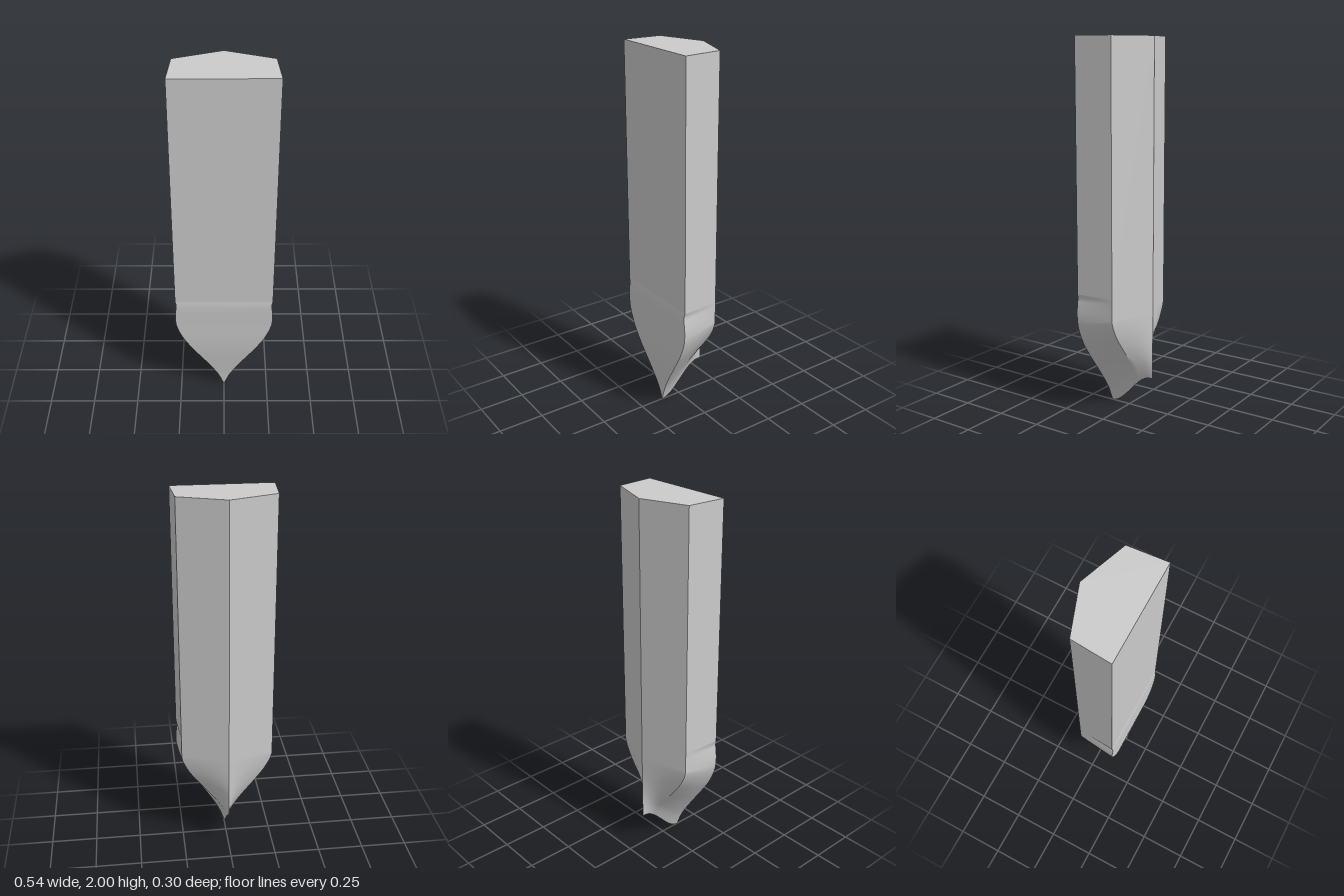
import * as THREE from 'three';
import { toCreasedNormals } from 'three/addons/utils/BufferGeometryUtils.js';

const SHOULDER = 0.67, HEIGHT = 2, FRONT_W = 0.266, BACK_W = 0.25;
const FRONT_Z = 0.148, CORNER_Z = -0.062, RIDGE_Z = -0.152, TIP_Z = 0.115;
const { lerp, smoothstep } = THREE.MathUtils;

// Front corner edge of the tip: half width, height, depth
const frontEdge = new THREE.CatmullRomCurve3([
  [0, 0, TIP_Z], [0.018, 0.05, 0.117], [0.04, 0.1, 0.121], [0.1, 0.2, 0.132],
  [0.166, 0.3, 0.143], [0.226, 0.4, 0.149], [0.261, 0.49, 0.15], [0.268, 0.55, 0.151],
  [0.264, 0.61, 0.152], [0.26, 0.645, 0.151], [FRONT_W, SHOULDER, FRONT_Z],
].map((p) => new THREE.Vector3(...p)));

// Height of the curved cutting edge at depth z
const cutHeight = (z) => 0.18 * smoothstep(TIP_Z - z, 0, 0.25);

// Mirrors one half outline (front corner to back ridge) into a closed ring
function mirrorRing(half) {
  const other = half.slice(0, -1).reverse().map(([x, y, z]) => [-x, y, z]);
  return [...half, ...other];
}

// Outline of the tip for one point on its front edge
function tipRing(p) {
  const half = [];
  const t = p.y / SHOULDER;
  const scale = p.x / FRONT_W;
  // The pinch under the shoulder fades out towards the back
  const smoothScale = t > 0.75 ? 1 : Math.min(scale, 1);
  const add = (x, z, z0) => {
    const low = cutHeight(z0);
    half.push([x, low + t * (SHOULDER - low), z]);
  };
  const sideSteps = 14, backSteps = 8;
  for (let i = 0; i <= sideSteps; i++) {
    const u = i / sideSteps;
    const w = lerp(FRONT_W, BACK_W, u) * lerp(scale, smoothScale, u);
    add(w, lerp(p.z, CORNER_Z, u), lerp(TIP_Z, CORNER_Z, u));
  }
  for (let i = 1; i <= backSteps; i++) {
    const v = i / backSteps;
    const z = lerp(CORNER_Z, RIDGE_Z, v);
    add(BACK_W * (1 - v) * smoothScale, z, z);
  }
  return mirrorRing(half);
}

// Five-sided outline of the shaft
const shaftRing = (y) => mirrorRing([
  [FRONT_W, y, FRONT_Z], [BACK_W, y, CORNER_Z], [0, y, RIDGE_Z],
]);

// Skins rings from bottom to top, optionally closing the last one
function loft(rings, capped) {
  const n = rings[0].length;
  const index = [];
  for (let i = 0; i < rings.length - 1; i++) {
    for (let j = 0; j < n; j++) {
      const a = i * n + j, b = i * n + (j + 1) % n;
      index.push(a, b, b + n, a, b + n, a + n);
    }
  }
  if (capped) {
    const s = (rings.length - 1) * n;
    for (let j = 1; j < n - 1; j++) index.push(s, s + j, s + j + 1);
  }
  const geo = new THREE.BufferGeometry();
  geo.setAttribute('position', new THREE.Float32BufferAttribute(rings.flat(2), 3));
  geo.setIndex(index);
  return toCreasedNormals(geo, 0.5);
}

export function createModel() {
  const group = new THREE.Group();
  group.name = 'pointedBlade';
  const material = new THREE.MeshStandardMaterial({ color: 0xcccccc, side: THREE.DoubleSide });
  const addPart = (name, geometry) => {
    const mesh = new THREE.Mesh(geometry, material);
    mesh.name = name;
    group.add(mesh);
  };

  // Straight shaft with a flat top
  addPart('shaft', loft([shaftRing(SHOULDER), shaftRing(HEIGHT)], true));

  // Tip narrowing to a curved edge
  addPart('tip', loft(frontEdge.getPoints(60).map(tipRing), false));
  return group;
}
